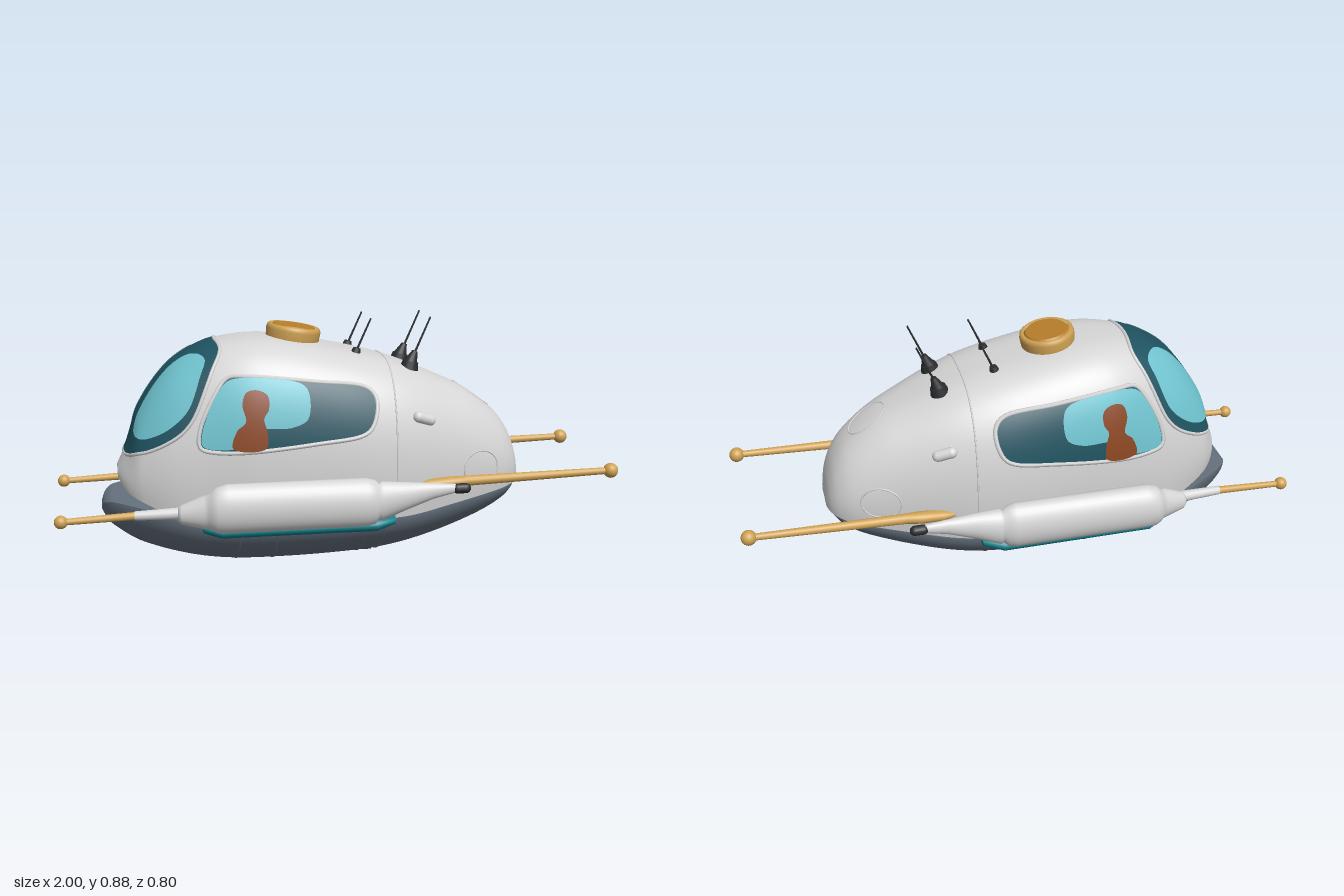
import * as THREE from 'three';

const mat = (name, color, side = THREE.FrontSide) => {
  const m = new THREE.MeshStandardMaterial({ color, side });
  m.name = name;
  return m;
};
const V = (x, y, z) => new THREE.Vector3(x, y, z);

// Smooth curve through [x, value] knots
function profile(pts) {
  const slope = (i) => {
    const a = pts[Math.max(0, i - 1)], b = pts[Math.min(pts.length - 1, i + 1)];
    return (b[1] - a[1]) / (b[0] - a[0]);
  };
  return (x) => {
    let i = 0;
    while (i < pts.length - 2 && x > pts[i + 1][0]) i++;
    const [x0, y0] = pts[i], [x1, y1] = pts[i + 1], d = x1 - x0;
    const t = Math.min(1, Math.max(0, (x - x0) / d)), t2 = t * t, t3 = t2 * t;
    return (2 * t3 - 3 * t2 + 1) * y0 + (t3 - 2 * t2 + t) * d * slope(i)
      + (3 * t2 - 2 * t3) * y1 + (t3 - t2) * d * slope(i + 1);
  };
}

// Skin over closed rings ordered along +x, closed to a point at both ends
function loft(rings) {
  const n = rings[0].length, pos = [], idx = [];
  const tip = (r) => {
    const c = r.reduce((s, p) => s.add(p), V(0, 0, 0)).divideScalar(n);
    return r.map(() => c);
  };
  const all = [tip(rings[0]), ...rings, tip(rings[rings.length - 1])];
  all.forEach((r) => r.forEach((p) => pos.push(p.x, p.y, p.z)));
  for (let i = 0; i < all.length - 1; i++) for (let j = 0; j < n; j++) {
    const k = (j + 1) % n, a = i * n, b = a + n;
    idx.push(a + j, b + j, a + k, a + k, b + j, b + k);
  }
  const g = new THREE.BufferGeometry();
  g.setAttribute('position', new THREE.Float32BufferAttribute(pos, 3));
  g.setIndex(idx);
  g.computeVertexNormals();
  return g;
}

// Elliptical sections from rows of [x, y, z, radiusY, radiusZ]
const pipe = (rows, side, n = 28) => loft(rows.map(([x, y, z, ry, rz]) =>
  Array.from({ length: n }, (_, j) => {
    const a = j / n * Math.PI * 2;
    return V(x, y + ry * Math.sin(a), side * z + rz * Math.cos(a));
  })));

// Hull profiles: upper shell top, seam, half width and squareness; lower shell likewise
const top = profile([[-0.78, 0.365], [-0.765, 0.395], [-0.74, 0.45], [-0.7, 0.57], [-0.6, 0.71], [-0.5, 0.78], [-0.4, 0.812],
  [-0.24, 0.82], [0, 0.78], [0.2, 0.73], [0.4, 0.65], [0.5, 0.6], [0.6, 0.52], [0.65, 0.45], [0.675, 0.38], [0.685, 0.32]]);
const seam = profile([[-0.78, 0.335], [-0.76, 0.305], [-0.72, 0.28], [-0.6, 0.23], [-0.5, 0.2], [0.2, 0.2], [0.4, 0.225], [0.6, 0.255], [0.685, 0.27]]);
const width = profile([[-0.78, 0.06], [-0.765, 0.11], [-0.74, 0.155], [-0.7, 0.195], [-0.6, 0.247], [-0.45, 0.288], [-0.3, 0.313],
  [0, 0.322], [0.15, 0.312], [0.3, 0.28], [0.5, 0.217], [0.6, 0.178], [0.65, 0.14], [0.675, 0.1], [0.685, 0.06]]);
const power = profile([[-0.78, 2.2], [-0.5, 2.6], [-0.3, 3.1], [0.2, 3], [0.45, 2.6], [0.685, 2.3]]);
const deck = profile([[-0.84, 0.225], [-0.83, 0.245], [-0.8, 0.26], [-0.7, 0.25], [-0.6, 0.22], [-0.5, 0.2], [0.2, 0.2], [0.4, 0.225], [0.6, 0.255], [0.683, 0.27]]);
const keel = profile([[-0.84, 0.205], [-0.825, 0.175], [-0.8, 0.145], [-0.7, 0.08], [-0.5, 0.022], [-0.3, 0.003], [0.1, 0.015],
  [0.3, 0.05], [0.5, 0.115], [0.62, 0.18], [0.683, 0.25]]);
const keelWidth = profile([[-0.84, 0.03], [-0.825, 0.085], [-0.8, 0.125], [-0.74, 0.175], [-0.6, 0.232], [-0.45, 0.272], [-0.3, 0.29],
  [0, 0.297], [0.15, 0.29], [0.3, 0.262], [0.5, 0.202], [0.6, 0.165], [0.65, 0.125], [0.683, 0.05]]);
const tuck = (q) => 1 - 0.08 * (1 - q) ** 4;

function arc(x, lower, count = 64) {
  const n = lower ? 1.75 : power(x), out = [];
  for (let j = 0; j <= count; j++) {
    const a = j / count * Math.PI, c = Math.cos(a) * (lower ? -1 : 1);
    const q = Math.max(0, Math.sin(a)) ** (2 / n), z = Math.sign(c) * Math.abs(c) ** (2 / n);
    out.push(lower ? V(x, deck(x) - (deck(x) - keel(x)) * q, z * keelWidth(x))
      : V(x, seam(x) + (top(x) - seam(x)) * q, z * width(x) * tuck(q)));
  }
  return out;
}
function shell(x0, x1, lower) {
  const rings = [];
  for (let i = 0; i <= 110; i++) {
    const r = arc((x0 + x1) / 2 - (x1 - x0) / 2 * Math.cos(i / 110 * Math.PI), lower);
    rings.push([...r, r[r.length - 1].clone(), r[0].clone()]);
  }
  return loft(rings);
}

// Signed field of the upper shell, and a ray cast from inside onto it
function field(p) {
  if (p.x < -0.78 || p.x > 0.685) return 1;
  const q = (p.y - seam(p.x)) / (top(p.x) - seam(p.x));
  if (q < 0) return 1;
  const n = power(p.x);
  return q ** n + (Math.abs(p.z) / (width(p.x) * tuck(Math.min(q, 1)))) ** n - 1;
}
function project(o, d, lift) {
  let lo = 0, hi = 0.9;
  for (let i = 0; i < 30; i++) {
    const m = (lo + hi) / 2;
    if (field(o.clone().addScaledVector(d, m)) < 0) lo = m; else hi = m;
  }
  const p = o.clone().addScaledVector(d, lo), e = 0.002;
  const f = (x, y, z) => field(p.clone().add(V(x, y, z)));
  const g = V(f(e, 0, 0) - f(-e, 0, 0), f(0, e, 0) - f(0, -e, 0), f(0, 0, e) - f(0, 0, -e));
  return p.addScaledVector(g.lengthSq() > 0 ? g.normalize() : d, lift);
}
const smooth = (pts, n = 72) => new THREE.CatmullRomCurve3(pts.map(([u, v]) => V(u, v, 0)), true, 'centripetal').getPoints(n).slice(0, n);
const place = (f, u, v, lift) => project(f.c.clone().addScaledVector(f.right, u).addScaledVector(f.up, v), f.dir, lift);

// Thin plate and raised rim lying on the hull
function plate(frame, pts, lift) {
  const o = smooth(pts), n = o.length, K = 10, pos = [], idx = [];
  const c = o.reduce((s, p) => s.add(p), V(0, 0, 0)).divideScalar(n);
  for (let k = 0; k <= K; k++) for (const p of o) {
    const m = c.clone().lerp(p, k / K);
    pos.push(...place(frame, m.x, m.y, lift).toArray());
  }
  for (let k = 0; k < K; k++) for (let j = 0; j < n; j++) {
    const a = k * n + j, b = k * n + (j + 1) % n;
    idx.push(a, a + n, b, b, a + n, b + n);
  }
  const g = new THREE.BufferGeometry();
  g.setAttribute('position', new THREE.Float32BufferAttribute(pos, 3));
  g.setIndex(idx);
  g.computeVertexNormals();
  return g;
}
const rim = (frame, pts, r) => new THREE.TubeGeometry(new THREE.CatmullRomCurve3(
  smooth(pts).map((p) => place(frame, p.x, p.y, 0)), true), 100, r, 6, true);
const oval = (ru, rv) => Array.from({ length: 12 }, (_, i) => [ru * Math.cos(i * Math.PI / 6), rv * Math.sin(i * Math.PI / 6)]);

export function createModel() {
  const model = new THREE.Group();
  const D = THREE.DoubleSide;
  const white = mat('hullWhite', 0xd6d6d6), grey = mat('keelGrey', 0x65717e), gold = mat('gold', 0xcfa254);
  const amber = mat('hatchAmber', 0xb87f2a), black = mat('black', 0x2c2d30), teal = mat('teal', 0x128089);
  const glass = mat('darkGlass', 0x1f5361, D), shine = mat('lightGlass', 0x6fc3cf, D), rust = mat('rust', 0x8c4722, D);
  const add = (name, geo, m) => {
    const mesh = new THREE.Mesh(geo, m);
    mesh.name = name;
    model.add(mesh);
    return mesh;
  };
  const rod = (name, a, b, r0, r1, m) => {
    const mesh = add(name, new THREE.CylinderGeometry(r1, r0, a.distanceTo(b), 16), m);
    mesh.position.copy(a).lerp(b, 0.5);
    mesh.quaternion.setFromUnitVectors(V(0, 1, 0), b.clone().sub(a).normalize());
  };
  const ball = (name, p, r, m) => add(name, new THREE.SphereGeometry(r, 20, 14), m).position.copy(p);

  // Hull shells and panel joints
  add('upperHull', shell(-0.78, 0.685, false), white);
  add('lowerHull', shell(-0.84, 0.683, true), grey);
  const joint = (name, x, lower, m) => add(name, new THREE.TubeGeometry(
    new THREE.CatmullRomCurve3(arc(x, lower, 40)), 80, 0.003, 6), m);
  joint('upperJoint', 0.18, false, white);
  for (const x of [-0.37, -0.24, 0.07, 0.14]) joint('keelRib', x, true, grey);
  add('bellyPlate', new THREE.BoxGeometry(0.07, 0.009, 0.09), black).position.set(0.105, 0.015, 0);

  // Windshield
  const dir = V(-0.771, 0.636, 0), up = V(0.636, 0.771, 0);
  const nose = { c: V(-0.575, 0.6, 0).addScaledVector(dir, -0.2), dir, up, right: V(0, 0, 1) };
  const half = [[0.13, 0.245], [0.19, 0.17], [0.232, 0.02], [0.222, -0.1], [0.17, -0.2], [0.09, -0.245]];
  const shield = [[0, 0.255], ...half, [0, -0.255], ...half.map(([u, v]) => [-u, v]).reverse()];
  add('windshield', plate(nose, shield, 0.004), glass);
  add('windshieldRim', rim(nose, shield, 0.007), white);

  const windowShape = [[-0.5, 0.475], [-0.5, 0.53], [-0.44, 0.66], [-0.4, 0.707], [-0.34, 0.713], [-0.1, 0.69], [0.08, 0.662],
    [0.11, 0.625], [0.1, 0.55], [0.07, 0.512], [-0.1, 0.485], [-0.45, 0.46]];
  const glare = [[-0.49, 0.48], [-0.49, 0.53], [-0.435, 0.655], [-0.39, 0.7], [-0.16, 0.688], [-0.13, 0.66], [-0.135, 0.57],
    [-0.19, 0.543], [-0.32, 0.535], [-0.37, 0.48], [-0.42, 0.47]];
  const figure = [[-0.39, 0.475], [-0.375, 0.535], [-0.345, 0.565], [-0.355, 0.62], [-0.34, 0.66], [-0.305, 0.668], [-0.27, 0.65],
    [-0.268, 0.605], [-0.285, 0.575], [-0.275, 0.53], [-0.28, 0.475]];

  for (const s of [1, -1]) {
    add('windshieldGlare', plate(nose, [[0.07, 0.16], [0.14, 0.19], [0.185, 0.13], [0.218, 0.02], [0.2, -0.1], [0.15, -0.165],
      [0.09, -0.16], [0.06, -0.03]].map(([u, v]) => [s * u, v]), 0.007), shine);

    // Side windows with a seated figure
    const flank = { c: V(0, 0, 0), dir: V(0, 0, s), up: V(0, 1, 0), right: V(1, 0, 0) };
    add('sideWindow', plate(flank, windowShape, 0.004), glass);
    add('windowGlare', plate(flank, glare, 0.007), shine);
    add('figure', plate(flank, figure, 0.0095), rust);
    add('windowRim', rim(flank, windowShape, 0.009), white);

    // Rear flank hatch outline and handle
    const d = V(0.4, 0, s * 0.917);
    add('flankHatch', rim({ c: V(0.44, 0.35, s * 0.05), dir: d, up: V(0, 1, 0), right: V(d.z, 0, -d.x) }, oval(0.072, 0.058), 0.003), white);
    const grip = add('handle', new THREE.CapsuleGeometry(0.02, 0.05, 6, 14), white);
    grip.position.copy(place(flank, 0.285, 0.545, 0));
    grip.rotation.set(0, s * 0.3, 1.25);

    // Side pod with tapered tail arm
    add('pod', pipe([[-0.585, 0.255, 0.305, 0.02, 0.02], [-0.575, 0.256, 0.308, 0.033, 0.028], [-0.5, 0.265, 0.322, 0.058, 0.042],
      [-0.485, 0.268, 0.33, 0.06, 0.042], [-0.475, 0.272, 0.342, 0.066, 0.045], [-0.455, 0.277, 0.345, 0.08, 0.053], [-0.42, 0.28, 0.345, 0.086, 0.056],
      [0.06, 0.28, 0.345, 0.086, 0.056], [0.09, 0.28, 0.345, 0.078, 0.05], [0.105, 0.28, 0.343, 0.062, 0.04], [0.115, 0.28, 0.34, 0.07, 0.046],
      [0.2, 0.292, 0.335, 0.05, 0.034], [0.3, 0.307, 0.337, 0.028, 0.02], [0.4, 0.315, 0.34, 0.012, 0.011]], s), white);
    add('podUnderside', pipe([[-0.5, 0.2, 0.3, 0.015, 0.02], [-0.44, 0.195, 0.315, 0.025, 0.045],
      [0.1, 0.195, 0.315, 0.027, 0.045], [0.17, 0.2, 0.3, 0.015, 0.025]], s), teal);
    const tip = add('armTip', new THREE.CapsuleGeometry(0.018, 0.03, 6, 14), black);
    tip.position.set(0.4, 0.312, s * 0.34);
    tip.rotation.z = Math.PI / 2;

    // Gold booms fore and aft
    const z = s * 0.272;
    rod('frontSleeve', V(-0.57, 0.255, s * 0.285), V(-0.73, 0.25, z), 0.021, 0.016, white);
    rod('frontBoom', V(-0.72, 0.25, z), V(-0.97, 0.24, z), 0.014, 0.011, gold);
    ball('frontBoomKnob', V(-0.978, 0.24, z), 0.023, gold);
    rod('rearBoom', V(0.38, 0.318, z), V(0.97, 0.333, z), 0.019, 0.012, gold);
    add('rearBoomRoot', pipe([[0.25, 0.31, 0.272, 0.006, 0.006], [0.3, 0.313, 0.272, 0.018, 0.022],
      [0.38, 0.316, 0.272, 0.021, 0.024], [0.45, 0.32, 0.272, 0.017, 0.017]], s), gold);
    ball('rearBoomKnob', V(0.973, 0.333, z), 0.027, gold);

    // Roof antennas
    const a = s * 0.085;
    rod('smallAntennaBase', V(0.07, 0.755, a), V(0.075, 0.775, a), 0.019, 0.013, black);
    rod('smallAntenna', V(0.075, 0.77, a), V(0.125, 0.88, a), 0.004, 0.003, black);
    rod('largeAntennaBase', V(0.265, 0.695, a), V(0.272, 0.722, a), 0.034, 0.028, black);
    rod('largeAntennaCone', V(0.272, 0.72, a), V(0.287, 0.758, a), 0.024, 0.01, black);
    rod('largeAntenna', V(0.285, 0.75, a), V(0.342, 0.88, a), 0.004, 0.003, black);
  }

  // Rear panel outline
  add('rearPanel', rim({ c: V(0.3, 0.42, 0), dir: V(0.8, 0.6, 0).normalize(), up: V(-0.6, 0.8, 0), right: V(0, 0, -1) }, oval(0.062, 0.075), 0.003), white);

  // Roof hatch
  const hatch = new THREE.Group();
  hatch.name = 'roofHatch';
  const hatchRim = new THREE.Mesh(new THREE.LatheGeometry([[0.09, -0.045], [0.095, -0.03], [0.098, 0.01], [0.095, 0.022], [0.088, 0.027], [0.08, 0.024]]
    .map(([x, y]) => new THREE.Vector2(x, y)), 48), gold);
  hatchRim.name = 'hatchRim';
  const lid = new THREE.Mesh(new THREE.CylinderGeometry(0.074, 0.084, 0.012, 48), amber);
  lid.name = 'hatchLid';
  lid.position.y = 0.022;
  hatch.add(hatchRim, lid);
  hatch.position.set(-0.142, 0.824, 0);
  hatch.rotation.z = -0.15;
  model.add(hatch);
  return model;
}
